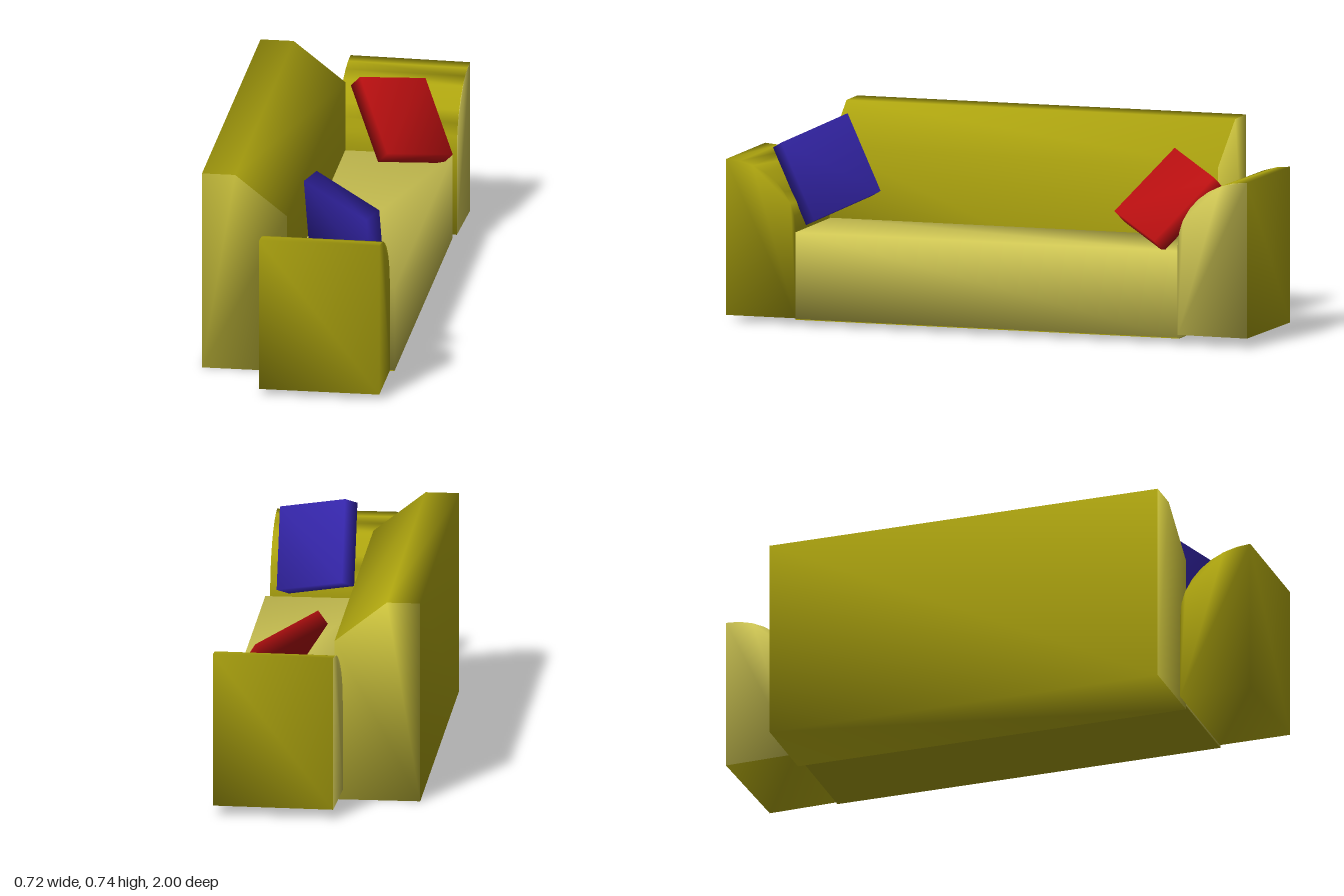
import * as THREE from 'three';
import { mergeVertices } from 'three/addons/utils/BufferGeometryUtils.js';

const flat = (name, color) => {
  const m = new THREE.MeshStandardMaterial({ color });
  m.name = name;
  return m;
};

// Softly shaded prism: counter-clockwise profile in x/y, centred along z.
// Group 0 is the wall, group 1 the two end caps.
function prism(profile, depth) {
  const n = profile.length;
  const pos = [];
  const index = [];
  for (const z of [-depth / 2, depth / 2]) for (const [x, y] of profile) pos.push(x, y, z);
  for (let i = 0; i < n; i++) {
    const j = (i + 1) % n;
    index.push(i, j, n + j, i, n + j, n + i);
  }
  const wall = index.length;
  const points = profile.map(([x, y]) => new THREE.Vector2(x, y));
  for (const [a, b, c] of THREE.ShapeUtils.triangulateShape(points, [])) {
    index.push(n + a, n + b, n + c, c, b, a);
  }
  const geo = new THREE.BufferGeometry();
  geo.setAttribute('position', new THREE.Float32BufferAttribute(pos, 3));
  geo.setIndex(index);
  geo.addGroup(0, wall, 0);
  geo.addGroup(wall, index.length - wall, 1);
  geo.computeVertexNormals();
  return geo;
}

// Soft-shaded tilted cushion from one corner and three right-handed edges.
function cushionGeometry(corner, u, v, w) {
  const [p, a, b, c] = [corner, u, v, w].map((e) => new THREE.Vector3(...e));
  let geo = new THREE.BoxGeometry(1, 1, 1).translate(0.5, 0.5, 0.5);
  geo.applyMatrix4(new THREE.Matrix4().makeBasis(a, b, c).setPosition(p));
  geo.deleteAttribute('uv');
  geo.deleteAttribute('normal');
  geo.clearGroups();
  geo = mergeVertices(geo, 1e-4);
  geo.computeVertexNormals();
  return geo;
}

export function createModel() {
  const deep = flat('deep yellow fabric', 0xada40f);
  const pale = flat('pale yellow fabric', 0xd2c955);
  const edge = flat('end panel yellow', 0xc9c03c);
  const red = flat('red fabric', 0xb80f10);
  const blue = flat('blue fabric', 0x3425a8);

  const group = new THREE.Group();
  group.name = 'sofa';
  const add = (name, geo, material) => {
    const mesh = new THREE.Mesh(geo, material);
    mesh.name = name;
    group.add(mesh);
    return mesh;
  };

  // Backrest with a sloping upper front edge
  add('backrest', prism([
    [-0.36, 0], [-0.052, 0], [-0.052, 0.587], [-0.24, 0.735], [-0.36, 0.735],
  ], 1.47), [deep, edge]);

  // Seat block and its underside
  add('seat', prism([
    [-0.052, 0.022], [0.336, 0.022], [0.336, 0.335], [-0.052, 0.335],
  ], 1.452), pale).position.z = 0.005;
  add('seatUnderside', new THREE.BoxGeometry(0.386, 0.004, 1.45), deep)
    .position.set(0.142, 0.021, 0.005);

  // Armrests: upright outer face, quarter-round inner top
  const armProfile = [[0, 0.022], [0.265, 0.022]];
  for (let i = 0; i <= 8; i++) {
    const a = (i / 8) * Math.PI / 2;
    armProfile.push([0.265 * (1 - Math.sin(a)), 0.345 + 0.24 * Math.cos(a)]);
  }
  const armGeo = prism(armProfile, 0.434);

  const leftArm = add('leftArm', armGeo, [deep, deep]);
  leftArm.rotation.y = -Math.PI / 2;
  leftArm.position.set(0.102, 0, 0.735);

  const rightArm = add('rightArm', armGeo, [deep, pale]);
  rightArm.rotation.y = Math.PI / 2 - 0.035;
  rightArm.position.set(0.135, 0.013, -0.728);

  // Cushions leaning on the armrests
  add('blueCushion', cushionGeometry(
    [0.04, 0.73, 0.635], [0, -0.275, -0.125], [0.25, -0.08, 0.165], [-0.04, -0.025, 0.045],
  ), blue);
  add('redCushion', cushionGeometry(
    [0.02, 0.66, -0.595], [0.205, -0.07, -0.22], [0.125, -0.22, 0.185], [-0.037, -0.042, -0.024],
  ), red);

  return group;
}
